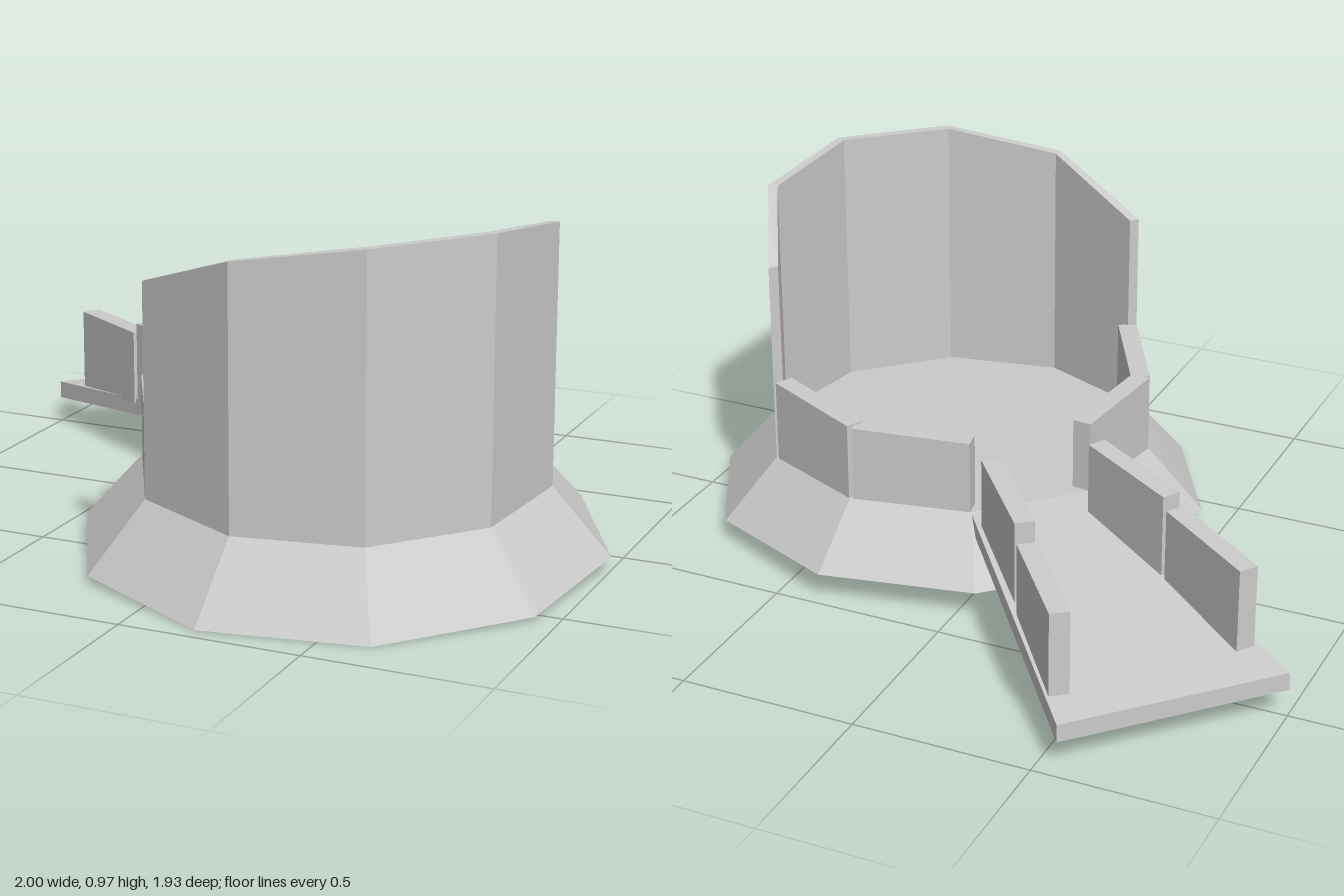
import * as THREE from 'three';

const SIDES = 10, CX = 0.285, CZ = 0.24;
const DEG = Math.PI / 180, START = -10.7 * DEG;
const R_BASE = 0.726, R_DECK = 0.565, R_INNER = 0.537;

// The platform leans slightly: heights of the skirt's foot and of the deck
const baseY = (x, z) => Math.max(0, 0.0581 - 0.0158 * x - 0.055 * z);
const deckY = (x, z) => 0.235 - 0.01 * x - 0.04 * z;

// Corner k of the ten-sided ring, as [x, z]
function corner(k, r) {
  const a = START + (k * 2 * Math.PI) / SIDES;
  return [CX + r * Math.cos(a), CZ + r * Math.sin(a)];
}
const mix = (p, q, t) => [p[0] + (q[0] - p[0]) * t, p[1] + (q[1] - p[1]) * t];

export function createModel() {
  const group = new THREE.Group();
  const solid = new THREE.MeshStandardMaterial({ color: 0xcccccc, flatShading: true });
  const thin = new THREE.MeshStandardMaterial({ color: 0xcccccc, flatShading: true, side: THREE.DoubleSide });

  function add(name, geometry, material) {
    geometry.computeVertexNormals();
    const mesh = new THREE.Mesh(geometry, material);
    mesh.name = name;
    group.add(mesh);
  }

  // Block over footprint a-b (outer edge) and d-c (inner edge); heights are given at the a and b ends
  function block(name, a, b, c, d, bottom, top) {
    const g = new THREE.BoxGeometry(1, 1, 1);
    const p = g.attributes.position;
    for (let i = 0; i < p.count; i++) {
      const end = p.getX(i) > 0 ? 1 : 0;
      const [x, z] = p.getZ(i) > 0 ? [d, c][end] : [a, b][end];
      p.setXYZ(i, x, (p.getY(i) > 0 ? top : bottom)[end], z);
    }
    add(name, g, solid);
  }

  // Straight panel of even thickness, growing inward from the edge a-b
  function panel(name, a, b, bottom, top, t = 0.055) {
    const dx = b[0] - a[0], dz = b[1] - a[1], l = Math.hypot(dx, dz);
    const nx = (-dz / l) * t, nz = (dx / l) * t;
    block(name, a, b, [b[0] + nx, b[1] + nz], [a[0] + nx, a[1] + nz], bottom, top);
  }

  // Flared skirt, open below
  const skirt = new THREE.CylinderGeometry(R_DECK, R_BASE, 1, SIDES, 1, true, Math.PI / 2 - START);
  skirt.translate(CX, 0, CZ);
  const sp = skirt.attributes.position;
  for (let i = 0; i < sp.count; i++) {
    const x = sp.getX(i), z = sp.getZ(i);
    sp.setY(i, sp.getY(i) > 0 ? deckY(x, z) : baseY(x, z));
  }
  add('skirt', skirt, thin);

  // Deck floor
  const deck = new THREE.CircleGeometry(R_DECK, SIDES, -START);
  deck.rotateX(-Math.PI / 2).translate(CX, 0, CZ);
  const dp = deck.attributes.position;
  for (let i = 0; i < dp.count; i++) dp.setY(i, deckY(dp.getX(i), dp.getZ(i)));
  add('deckFloor', deck, thin);

  // Tall curved wall with a slanting top, five sides from back left round to front right
  const tallTops = [0.825, 0.935, 0.97, 0.96, 0.91, 0.797];
  for (let i = 0; i < 5; i++) {
    const k = i - 1;
    const a = corner(k, R_DECK), b = corner(k + 1, R_DECK);
    block('tallWall', a, b, corner(k + 1, R_INNER), corner(k, R_INNER),
      [deckY(...a), deckY(...b)], [tallTops[i], tallTops[i + 1]]);
  }

  // Low parapets on either side of the ramp opening: corner number and top heights
  const parapets = [
    [4, 0.462, 0.452], [5, 0.452, 0.445],
    [7, 0.455, 0.462], [8, 0.467, 0.475],
  ];
  for (const [k, ta, tb] of parapets) {
    const p = corner(k, R_DECK), q = corner(k + 1, R_DECK);
    const a = mix(p, q, 0.01), b = mix(p, q, 0.97);
    panel('parapet', a, b, [deckY(...a), deckY(...b)], [ta, tb]);
  }

  // Sloping ramp, wider at its foot
  block('ramp', [-0.555, -0.965], corner(7, R_DECK), corner(6, R_DECK), [-1, -0.495],
    [0.076, 0.197], [0.127, 0.242]);

  // Ramp side panels, two on each side
  panel('rampPanel', [-0.492, -0.873], [-0.283, -0.607], [0.13, 0.175], [0.38, 0.392]);
  panel('rampPanel', [-0.257, -0.563], [-0.037, -0.297], [0.18, 0.225], [0.425, 0.437]);
  panel('rampPanel', [-0.6, -0.235], [-0.88, -0.435], [0.175, 0.13], [0.392, 0.38]);
  panel('rampPanel', [-0.294, -0.045], [-0.583, -0.222], [0.22, 0.175], [0.437, 0.425]);

  return group;
}
